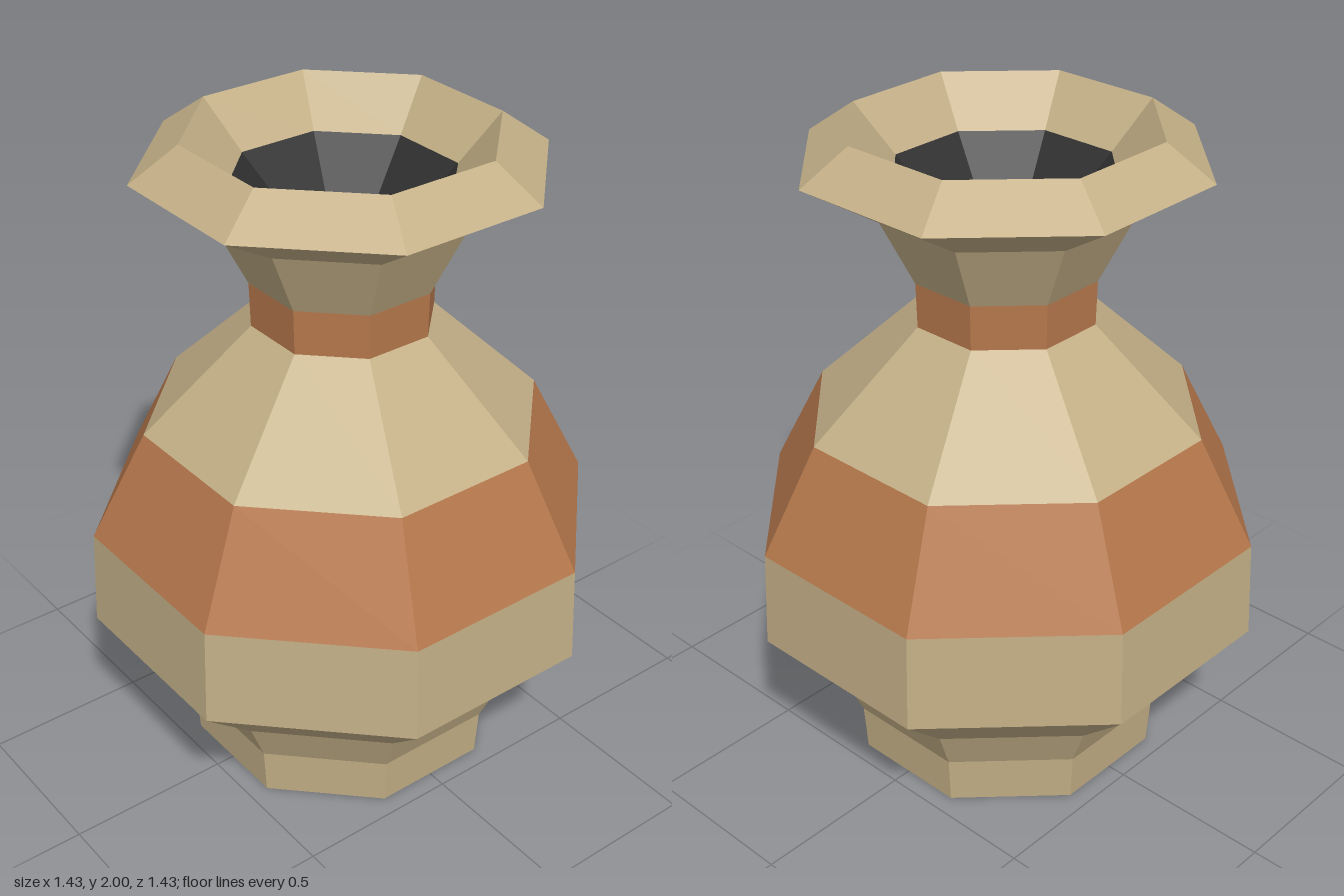
import * as THREE from 'three';

const SIDES = 8;

export function createModel() {
  const vase = new THREE.Group();
  vase.name = 'vase';

  const material = (name, color) => {
    const m = new THREE.MeshStandardMaterial({ color, flatShading: true });
    m.name = name;
    return m;
  };
  const clay = material('sandClay', 0xc4b087);
  const paint = material('terracottaBand', 0xb6784c);
  const dark = material('darkInside', 0x303030);

  // One octagonal ring of the vase; each profile point is [half width across flats, height].
  const ring = (name, mat, profile) => {
    const points = profile.map(([w, y]) => new THREE.Vector2(w / Math.cos(Math.PI / SIDES), y));
    const mesh = new THREE.Mesh(new THREE.LatheGeometry(points, SIDES, Math.PI / SIDES), mat);
    mesh.name = name;
    vase.add(mesh);
  };

  // Closed base, foot and lower belly
  ring('footAndBelly', clay, [[0, 0], [0.44, 0], [0.45, 0.15], [0.51, 0.29], [0.717, 0.5], [0.705, 0.8]]);
  // Painted band around the upper belly
  ring('bellyBand', paint, [[0.705, 0.8], [0.55, 1.125]]);
  // Sloping shoulder
  ring('shoulder', clay, [[0.55, 1.125], [0.25, 1.435]]);
  // Painted band around the neck
  ring('neckBand', paint, [[0.25, 1.435], [0.253, 1.57]]);
  // Flared neck, rim and inner lip
  ring('neckAndRim', clay, [[0.253, 1.57], [0.345, 1.77], [0.547, 1.9], [0.417, 2], [0.303, 1.86]]);
  // Dark hollow inside the mouth
  ring('hollow', dark, [[0.303, 1.86], [0, 1.52]]);

  return vase;
}
